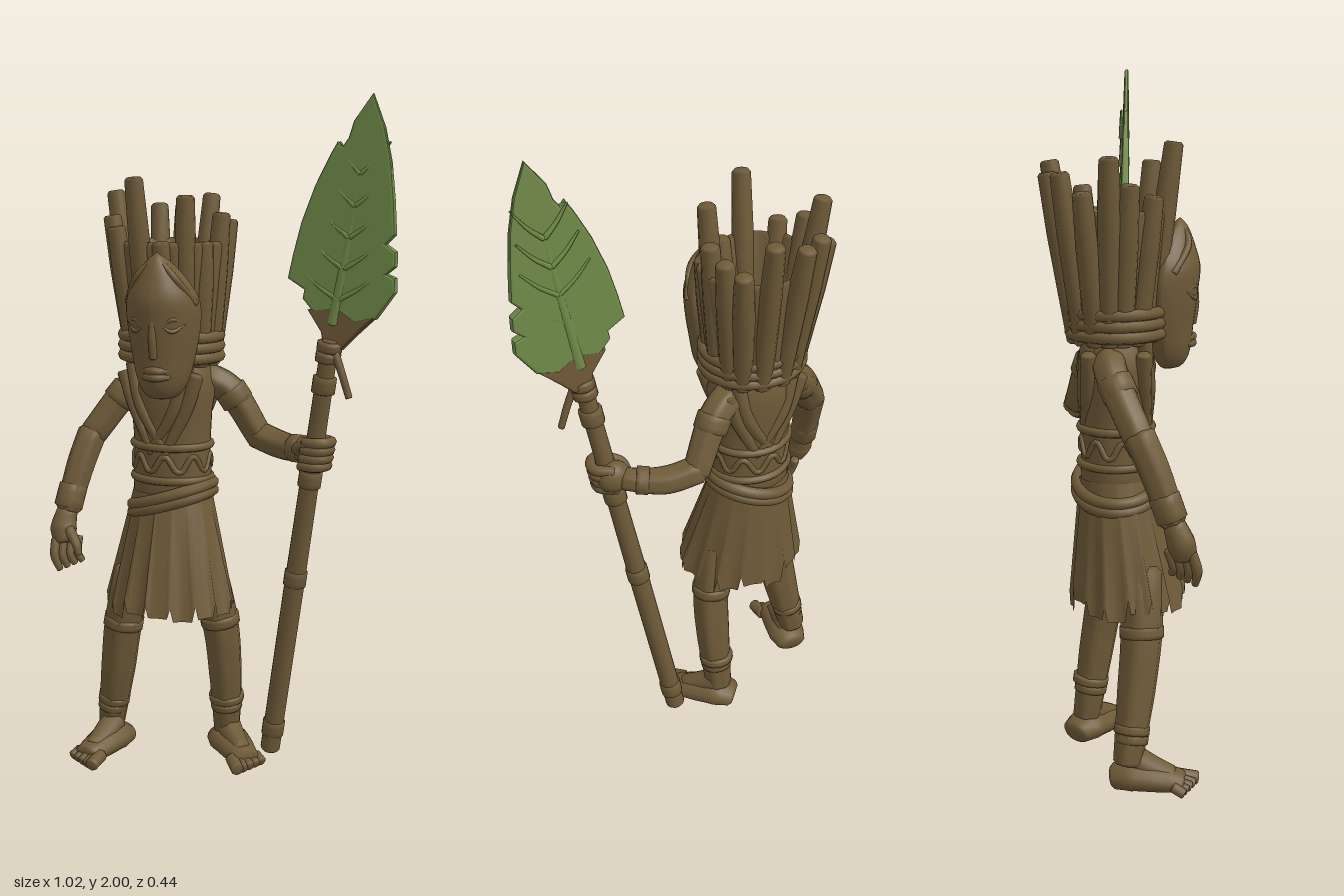
import * as THREE from 'three';
import { mergeVertices } from 'three/addons/utils/BufferGeometryUtils.js';

const V = (x, y, z) => new THREE.Vector3(x, y, z);
const lerp = THREE.MathUtils.lerp;
const CX = -0.185, CZ = -0.01; // body axis

// Capped tube through [x, y, z, radius] points, with optional bark ridges
function rodGeometry(points, sides = 10, ridges = 0, depth = 0.07, segs = 14) {
  const path = points.map(p => V(p[0], p[1], p[2]));
  const curve = new THREE.CatmullRomCurve3(path, false, 'centripetal');
  const at = [0];
  for (let i = 1; i < path.length; i++) at.push(at[i - 1] + path[i].distanceTo(path[i - 1]));
  const length = at[at.length - 1];
  const radius = u => {
    let k = 1;
    while (k < at.length - 1 && at[k] < u * length) k++;
    return lerp(points[k - 1][3], points[k][3], THREE.MathUtils.clamp((u * length - at[k - 1]) / (at[k] - at[k - 1]), 0, 1));
  };
  const geo = new THREE.TubeGeometry(curve, segs, 1, sides, false);
  const pos = geo.attributes.position, nor = geo.attributes.normal;
  for (let i = 0; i <= segs; i++) {
    const fromEnd = Math.min(i, segs - i);
    let u = i / segs;
    if (fromEnd < 3) {
      const inset = fromEnd < 2 ? 0 : Math.min(0.06, 0.25 * radius(u) / length);
      u = i < segs / 2 ? inset : 1 - inset;
    }
    const r = radius(u) * [0, 0.78, 1][Math.min(fromEnd, 2)];
    const c = curve.getPointAt(u);
    for (let j = 0; j <= sides; j++) {
      const k = i * (sides + 1) + j;
      const rr = r * (1 + depth * Math.sin(ridges * j / sides * Math.PI * 2));
      pos.setXYZ(k, c.x + nor.getX(k) * rr, c.y + nor.getY(k) * rr, c.z + nor.getZ(k) * rr);
    }
  }
  geo.deleteAttribute('uv');
  geo.deleteAttribute('normal');
  const out = mergeVertices(geo, 1e-5);
  out.computeVertexNormals();
  return out;
}

// Closed band round the body; tilt raises it towards +x, wave zigzags it
function bandGeometry(y, rx, rz, r, tilt = 0, wave = 0) {
  const pts = [];
  for (let i = 0; i < 48; i++) {
    const a = i / 48 * Math.PI * 2;
    pts.push(V(CX + rx * Math.sin(a), y + tilt * Math.sin(a) + wave * Math.asin(Math.sin(a * 8)), CZ + rz * Math.cos(a)));
  }
  return new THREE.TubeGeometry(new THREE.CatmullRomCurve3(pts, true), 96, r, 8, true);
}

const lathe = (pts, sides) => new THREE.LatheGeometry(pts.map(p => new THREE.Vector2(...p)), sides);

export function createModel() {
  const model = new THREE.Group();
  const wood = new THREE.MeshStandardMaterial({ color: 0x6e5a38 });
  wood.name = 'wood brown';
  const cloth = new THREE.MeshStandardMaterial({ color: 0x6e5a38, side: THREE.DoubleSide });
  cloth.name = 'cloth brown';
  const binding = new THREE.MeshStandardMaterial({ color: 0x6f5838 });
  binding.name = 'binding brown';
  const green = new THREE.MeshStandardMaterial({ color: 0x6f8a48 });
  green.name = 'leaf green';

  let seed = 7;
  const rand = () => (seed = (seed * 16807) % 2147483647) / 2147483647;
  const add = (name, geo, mat = wood, parent = model) => {
    const m = new THREE.Mesh(geo, mat);
    m.name = name;
    parent.add(m);
    return m;
  };
  const rod = (name, pts, mat, parent, sides, ridges, depth, segs) => add(name, rodGeometry(pts, sides, ridges, depth, segs), mat, parent);
  const limb = (name, pts) => rod(name, pts, wood, model, 24, 6, 0.05, 18);
  // short collar wrapped round a limb between two points
  const cuff = (name, a, b, r, mat) => rod(name, [[...a, r], [...b, r]], mat, model, 14, 0, 0, 8);

  // Torso
  const torso = add('torso', lathe([[0.001, 0.74], [0.118, 0.76], [0.122, 0.88], [0.118, 1.0], [0.124, 1.1], [0.136, 1.17], [0.12, 1.23], [0.1, 1.28], [0.001, 1.3]], 32));
  torso.scale.z = 0.82;
  torso.position.set(CX, 0, CZ);

  // Crossed robe collar, front and back
  for (const f of [1, -1]) for (const s of [1, -1]) for (const k of [0, 1])
    rod('robeCollar', [[CX + s * (0.09 + k * 0.03), 1.25 - k * 0.03, CZ + f * 0.075, 0.022], [CX + s * (0.055 + k * 0.03), 1.12, CZ + f * (0.086 - k * 0.01), 0.022],
      [CX - s * (0.03 - k * 0.05), 0.98, CZ + f * 0.085, 0.015]]);

  // Wide belt and slanted sash
  for (const [y, r] of [[1.0, 0.012], [0.9, 0.012]]) add('beltRope', bandGeometry(y, 0.118, 0.1, r));
  add('beltZigzag', bandGeometry(0.95, 0.117, 0.098, 0.009, 0, 0.02));
  for (const y of [0.845, 0.82]) add('sash', bandGeometry(y, 0.124, 0.11, 0.018, 0.04));

  // Ragged skirt
  const N = 128, skirtGeo = new THREE.CylinderGeometry(1, 1, 1, N, 10, true);
  const hem = [];
  for (let i = 0; i < 16; i++) hem.push(0.475 + 0.045 * rand());
  const sp = skirtGeo.attributes.position;
  for (let i = 0; i < sp.count; i++) {
    const a = Math.atan2(sp.getX(i), sp.getZ(i));
    const t = 0.5 - sp.getY(i);
    const j = Math.round((a + Math.PI) / (Math.PI * 2) * N) % N;
    const slit = j % 8 === 0 ? 0.04 : 0;
    const ridge = 1 + t * (0.025 * Math.cos(a * 16) + 0.02 * Math.sin(a * 9));
    const y = lerp(0.86, hem[Math.floor(j / 8)] + slit, t);
    sp.setXYZ(i, CX + 0.008 * t + lerp(0.121, 0.194, t) * Math.sin(a) * ridge, y, CZ + 0.032 * t + lerp(0.104, 0.162, t) * Math.cos(a) * ridge);
  }
  skirtGeo.computeVertexNormals();
  add('skirt', skirtGeo, cloth);

  // Hollow crown of ribs with the flat top of the head inside
  const crownGeo = lathe([[0.105, 1.23], [0.136, 1.25], [0.144, 1.35], [0.156, 1.47], [0.168, 1.585], [0.162, 1.6], [0.15, 1.59], [0.122, 1.46], [0.104, 1.36], [0.1, 1.355], [0.001, 1.355]], 98);
  const hp = crownGeo.attributes.position;
  for (let i = 0; i < hp.count; i++) {
    const a = Math.atan2(hp.getX(i), hp.getZ(i));
    const r = Math.hypot(hp.getX(i), hp.getZ(i)), w = r > 0.13 ? 1 + 0.025 * Math.cos(a * 14) : 1;
    hp.setXYZ(i, CX + r * w * Math.sin(a), hp.getY(i), -0.02 + r * w * Math.cos(a) * 0.88);
  }
  crownGeo.computeVertexNormals();
  add('crownShell', crownGeo, cloth);
  const tips = [[-0.235, 1.7, -0.195], [-0.14, 1.73, -0.193], [-0.07, 1.64, -0.155], [-0.04, 1.66, -0.105], [-0.032, 1.68, -0.035], [-0.05, 1.6, 0.04], [-0.085, 1.73, 0.09],
    [-0.147, 1.6, 0.122], [-0.22, 1.78, 0.145], [-0.31, 1.64, 0.09], [-0.36, 1.67, 0.025], [-0.378, 1.74, -0.03], [-0.355, 1.65, -0.1], [-0.3, 1.7, -0.16]];
  for (const [x, y, z] of tips) {
    const a = Math.atan2(x - CX, z + 0.02);
    rod('crownStick', [[CX + 0.116 * Math.sin(a), 1.24, -0.02 + 0.098 * Math.cos(a), 0.03],
      [lerp(CX + 0.116 * Math.sin(a), x, 0.65), lerp(1.24, y, 0.65), lerp(-0.02 + 0.098 * Math.cos(a), z, 0.65), 0.031], [x, y, z, 0.026]], wood, model, 12);
  }
  for (const y of [1.265, 1.295, 1.325]) add('crownRope', bandGeometry(y, 0.146, 0.126, 0.017));

  // Mask, turned slightly to its left, with a flattened back
  const mask = new THREE.Group();
  mask.name = 'mask';
  mask.position.set(-0.147, 0, 0.1);
  mask.rotation.y = 0.15;
  model.add(mask);
  const face = [[0.001, 1.155], [0.045, 1.165], [0.075, 1.21], [0.094, 1.29], [0.107, 1.37], [0.106, 1.44], [0.075, 1.5], [0.035, 1.55], [0.001, 1.575]];
  const faceGeo = new THREE.LatheGeometry(new THREE.SplineCurve(face.map(p => new THREE.Vector2(...p))).getPoints(28), 36);
  const bow = y => (y > 1.37 ? 1.6 : 0.6) * (y - 1.37) ** 2;
  const fp = faceGeo.attributes.position;
  for (let i = 0; i < fp.count; i++) {
    const z = fp.getZ(i);
    fp.setZ(i, z * (z > 0 ? 1.1 : 0.35) + bow(fp.getY(i)));
  }
  faceGeo.computeVertexNormals();
  add('maskFace', faceGeo, wood, mask);
  for (const s of [1, -1]) {
    rod('browRidge', [[0, 1.565, 0.07, 0.008], [s * 0.055, 1.508, 0.08, 0.01], [s * 0.103, 1.43, 0.03, 0.01]], wood, mask);
    for (const up of [1, -1]) // upper and lower eyelid
      rod('eyelid', [[s * 0.03, 1.372, 0.11, 0.003], [s * 0.054, 1.375 + up * 0.017, 0.1, 0.007], [s * 0.084, 1.378, 0.071, 0.003]], wood, mask);
  }
  rod('nose', [[0, 1.42, 0.108, 0.008], [0, 1.34, 0.112, 0.012], [0, 1.28, 0.104, 0.012]], wood, mask);
  for (const y of [1.245, 1.227]) rod('lip', [[-0.04, y, 0.08, 0.009], [0, y, 0.105, 0.013], [0.04, y, 0.08, 0.009]], wood, mask);

  // Right arm, hanging and bent forward
  limb('rightUpperArm', [[-0.27, 1.2, -0.03, 0.048], [-0.33, 1.16, -0.02, 0.046], [-0.43, 1.01, 0.05, 0.043]]);
  limb('rightForearm', [[-0.425, 1.03, 0.045, 0.044], [-0.445, 0.93, 0.09, 0.042], [-0.465, 0.79, 0.14, 0.037]]);
  cuff('rightShoulderWrap', [-0.335, 1.155, -0.017], [-0.365, 1.11, 0.005], 0.05);
  cuff('rightWristWrap', [-0.457, 0.87, 0.113], [-0.465, 0.8, 0.138], 0.043);
  rod('rightPalm', [[-0.465, 0.8, 0.138, 0.03], [-0.468, 0.74, 0.16, 0.04], [-0.455, 0.7, 0.172, 0.033]]);
  for (let i = 0; i < 4; i++) {
    const x = -0.478 + i * 0.014, z = 0.203 - i * 0.02;
    rod('rightFinger', [[x, 0.715, z - 0.015, 0.015], [x + 0.004, 0.665, z, 0.014], [x + 0.02, 0.622 + i * 0.006, z - 0.005, 0.01]], wood, model, 8);
  }
  rod('rightThumb', [[-0.445, 0.745, 0.17, 0.018], [-0.405, 0.705, 0.19, 0.014], [-0.395, 0.675, 0.195, 0.01]], wood, model, 8);

  // Left arm, gripping the spear
  limb('leftUpperArm', [[-0.1, 1.2, -0.05, 0.048], [-0.03, 1.16, -0.08, 0.046], [0.055, 1.01, -0.125, 0.041]]);
  limb('leftForearm', [[0.035, 1.025, -0.125, 0.043], [0.14, 1.0, -0.1, 0.042], [0.25, 1.005, -0.045, 0.033]]);
  cuff('leftShoulderWrap', [-0.03, 1.165, -0.08], [-0.005, 1.12, -0.094], 0.05);
  cuff('leftWristWrap', [0.18, 1.0, -0.082], [0.215, 1.003, -0.065], 0.042);
  const palm = add('leftPalm', new THREE.SphereGeometry(1, 20, 14));
  palm.position.set(0.268, 1.01, -0.03);
  palm.scale.set(0.05, 0.05, 0.04);
  for (let i = 0; i < 4; i++) {
    const y = 1.043 - i * 0.023, x = 0.272 - i * 0.004;
    rod('leftFinger', [[x, y, -0.05, 0.015], [x + 0.05, y, -0.015, 0.016], [x + 0.035, y, 0.032, 0.016], [x - 0.02, y, 0.03, 0.014]], wood, model, 8);
  }
  rod('leftThumb', [[0.225, 1.0, -0.035, 0.018], [0.225, 1.02, 0.01, 0.016], [0.265, 1.04, 0.035, 0.012]], wood, model, 8);

  // Legs with knee and ankle wraps
  limb('rightLeg', [[-0.28, 0.62, 0.06, 0.062], [-0.322, 0.44, 0.06, 0.058], [-0.352, 0.28, 0.045, 0.053], [-0.394, 0.08, 0.02, 0.04]]);
  limb('leftLeg', [[-0.08, 0.62, -0.02, 0.062], [-0.042, 0.44, -0.045, 0.055], [-0.038, 0.28, -0.07, 0.051], [-0.046, 0.07, -0.1, 0.04]]);
  cuff('rightKneeWrap', [-0.318, 0.46, 0.06], [-0.325, 0.425, 0.06], 0.062);
  cuff('leftKneeWrap', [-0.045, 0.475, -0.04], [-0.042, 0.44, -0.045], 0.06);
  for (const k of [0, 1]) {
    cuff('rightAnkleWrap', [-0.372 - k * 0.006, 0.19 - k * 0.025, 0.034], [-0.378 - k * 0.006, 0.165 - k * 0.025, 0.031], 0.05 - k * 0.004);
    cuff('leftAnkleWrap', [-0.041, 0.205 - k * 0.025, -0.084], [-0.042, 0.18 - k * 0.025, -0.088], 0.054 - k * 0.005);
  }
  for (const [name, x, z, yaw, side] of [['rightFoot', -0.378, 0.03, -0.12, -1], ['leftFoot', -0.045, -0.1, 0.85, 1]]) {
    const foot = new THREE.Group();
    foot.name = name;
    foot.position.set(x, 0, z);
    foot.rotation.y = yaw;
    model.add(foot);
    const sole = rod('footBody', [[0, 0.035, -0.055, 0.032], [0, 0.045, 0.0, 0.044], [0, 0.04, 0.07, 0.039], [0, 0.03, 0.15, 0.029]], wood, foot, 16);
    sole.scale.x = 1.45;
    rod('instep', [[0, 0.1, -0.005, 0.04], [0, 0.07, 0.05, 0.036], [0, 0.045, 0.12, 0.027]], wood, foot);
    for (let i = 0; i < 5; i++) {
      const tx = side * (-0.044 + i * 0.023), r = i ? 0.016 : 0.021;
      rod('toe', [[tx * 0.85, 0.032, 0.12, r], [tx * 1.05, r, 0.186 - i * 0.008, r * 0.95]], wood, foot, 8);
    }
  }

  // Spear shaft with bamboo joints
  const shaft = y => [0.1 + 0.172 * y, y, -0.09 + 0.085 * y];
  rod('spearShaft', [[...shaft(0.04), 0.03], [...shaft(0.6), 0.03], [...shaft(1.34), 0.025]], wood, model, 14);
  for (const y of [0.12, 0.62, 0.93, 1.21]) cuff('shaftJoint', shaft(y - 0.025), shaft(y + 0.025), 0.034);
  for (const y of [1.29, 1.32]) cuff('headBinding', shaft(y - 0.014), shaft(y + 0.014), 0.036, binding);
  rod('bindingTail', [[0.335, 1.33, 0.03, 0.014], [0.365, 1.26, 0.035, 0.011], [0.392, 1.18, 0.035, 0.01]], binding);

  // Leaf blade thinning to its tip: brown base, ragged green blade, midrib and veins
  const plate = (name, pts, mat) => {
    const shape = new THREE.Shape(pts.map(p => new THREE.Vector2(...p)));
    const geo = new THREE.ExtrudeGeometry(shape, { depth: 0.016, bevelThickness: 0.008, bevelSize: 0.008, bevelOffset: -0.008, bevelSegments: 2 });
    const p = geo.attributes.position;
    for (let i = 0; i < p.count; i++) {
      const y = p.getY(i);
      p.setZ(i, (p.getZ(i) - 0.008) * lerp(1.1, 0.4, (y - 1.3) / 0.7) + 0.018 + 0.02 * (y - 1.6));
    }
    geo.computeVertexNormals();
    return add(name, geo, mat);
  };
  plate('leafBlade', [[0.443, 2.0], [0.478, 1.91], [0.497, 1.82], [0.507, 1.72], [0.512, 1.63], [0.487, 1.605], [0.515, 1.585], [0.515, 1.545], [0.49, 1.525], [0.515, 1.515],
    [0.515, 1.475], [0.46, 1.4], [0.4, 1.385], [0.345, 1.42], [0.28, 1.41], [0.245, 1.45], [0.25, 1.475], [0.2, 1.505], [0.215, 1.57], [0.24, 1.66], [0.28, 1.76],
    [0.325, 1.845], [0.342, 1.872], [0.36, 1.865], [0.375, 1.885], [0.39, 1.93]], green);
  plate('leafBase', [[0.26, 1.42], [0.35, 1.435], [0.4, 1.4], [0.465, 1.41], [0.4, 1.35], [0.36, 1.31], [0.31, 1.31], [0.3, 1.36]], binding);
  rod('leafMidrib', [[0.335, 1.38, 0.014, 0.022], [0.38, 1.62, 0.018, 0.015], [0.437, 1.97, 0.025, 0.005]], green);
  for (let i = 0; i < 5; i++) for (const s of [1, -1]) {
    const y = 1.45 + i * 0.085, x = 0.348 + 0.17 * (y - 1.42), w = (s > 0 ? 0.125 : 0.115) - i * 0.012;
    for (const z of [0.009, 0.027]) rod('leafVein', [[x, y, z, 0.008], [x + s * w * 0.5, y + 0.035, z, 0.006], [x + s * w, y + 0.085, z, 0.003]], green, model, 6);
  }
  return model;
}
